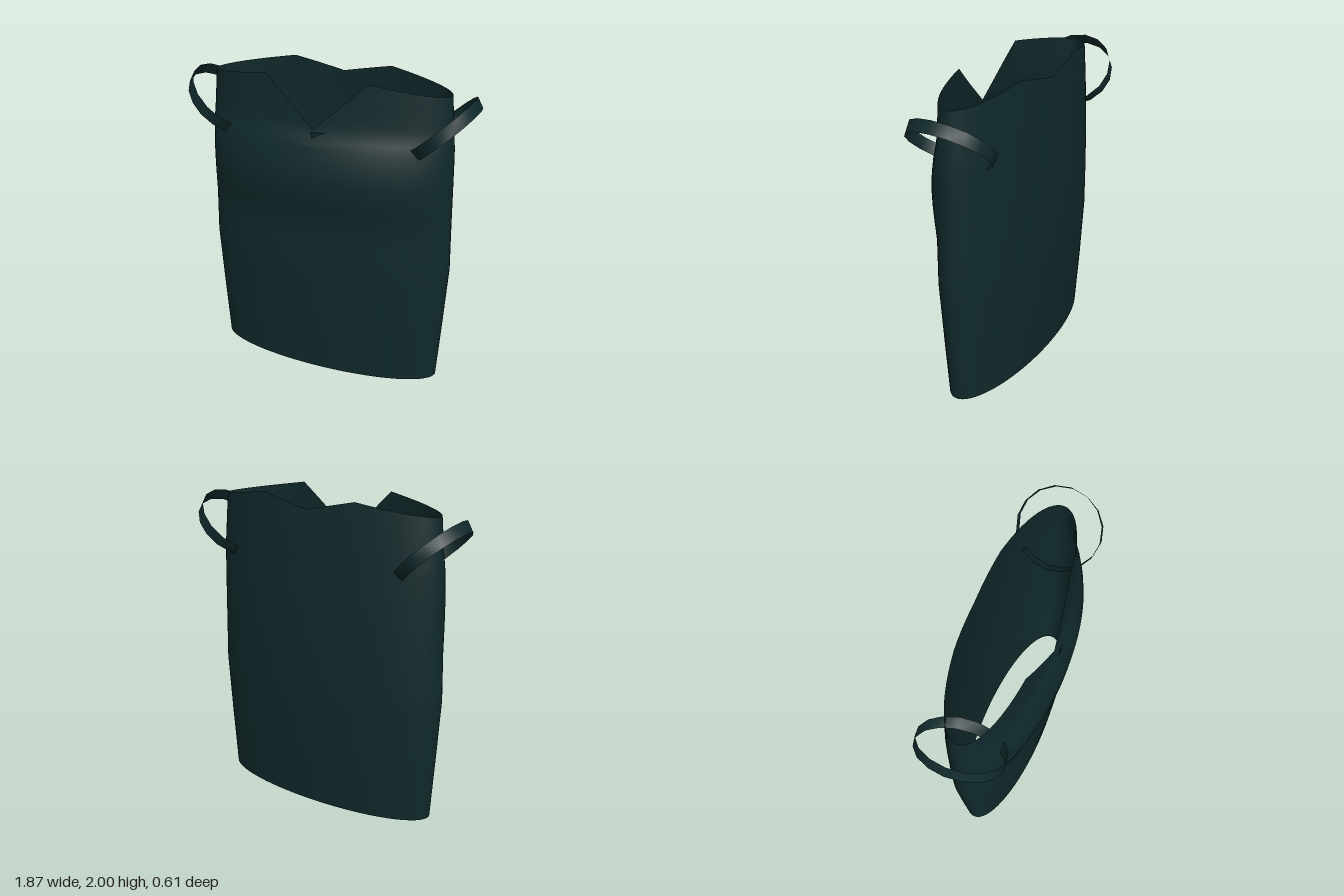
import * as THREE from 'three';

// height, half width, front depth, back depth
const profile = [
  [0, 0.765, 0.2, -0.255], [0.4, 0.79, 0.228, -0.284], [0.8, 0.813, 0.25, -0.303],
  [1.1, 0.805, 0.252, -0.303], [1.2, 0.803, 0.28, -0.3], [1.3, 0.801, 0.302, -0.297],
  [1.4, 0.799, 0.309, -0.293], [1.5, 0.797, 0.296, -0.287], [1.6, 0.794, 0.268, -0.281],
  [1.7, 0.785, 0.226, -0.276], [1.8, 0.776, 0.214, -0.27], [2.0, 0.758, 0.2, -0.255],
];
const MID_Z = -0.025;

function section(y) {
  let i = 0;
  while (i < profile.length - 2 && y > profile[i + 1][0]) i++;
  const a = profile[i], b = profile[i + 1];
  const t = (y - a[0]) / (b[0] - a[0]);
  return a.map((v, k) => v + (b[k] - v) * t);
}

function bodyPoint(angle, y) {
  const [, w, front, back] = section(y);
  const c = Math.cos(angle);
  return [Math.sin(angle) * w, y, MID_Z + c * (c > 0 ? front - MID_Z : MID_Z - back)];
}

// Upper edge: peaks either side, deep V in front, shallow V behind
function rimHeight(angle) {
  const x = Math.abs(Math.sin(angle)) * 0.765, peak = 0.323;
  if (x > peak) return 2 - 0.07 * (x - peak) / (0.765 - peak);
  const low = Math.cos(angle) > 0 ? 1.7 : 1.93;
  return low + (2 - low) * x / peak;
}

// Surface from rows of points; closed rows wrap round
function loft(rows) {
  const n = rows[0].length, index = [];
  for (let j = 0; j < rows.length - 1; j++) {
    for (let i = 0; i < n; i++) {
      const a = j * n + i, b = j * n + (i + 1) % n;
      index.push(a, b, b + n, a, b + n, a + n);
    }
  }
  const g = new THREE.BufferGeometry();
  g.setAttribute('position', new THREE.Float32BufferAttribute(rows.flat(2), 3));
  g.setIndex(index);
  g.computeVertexNormals();
  return g;
}

export function createModel() {
  const group = new THREE.Group();
  const cloth = new THREE.MeshStandardMaterial({ color: 0x10292b, side: THREE.DoubleSide });
  cloth.name = 'dark teal cloth';
  const add = (name, geometry) => {
    const mesh = new THREE.Mesh(geometry, cloth);
    mesh.name = name;
    group.add(mesh);
  };

  // Open tube of the garment
  const angles = Array.from({ length: 72 }, (_, i) => i * Math.PI / 36);
  const rows = [];
  for (let k = 0; k <= 16; k++) rows.push(angles.map(a => bodyPoint(a, k / 10)));
  for (let k = 1; k <= 8; k++) {
    rows.push(angles.map(a => bodyPoint(a, 1.6 + (rimHeight(a) - 1.6) * k / 8)));
  }
  add('garmentBody', loft(rows));

  // Small fold under the point of the neckline
  const fold = new THREE.BufferGeometry();
  fold.setAttribute('position', new THREE.Float32BufferAttribute(
    [0, 1.655, 0.252, 0.09, 1.7, 0.25, 0, 1.7, 0.262], 3));
  fold.computeVertexNormals();
  add('necklineFold', fold);

  // Tilted off-shoulder bands
  for (const side of [1, -1]) {
    const ring = (x0, y0, x1, y1) => Array.from({ length: 16 }, (_, i) => {
      const a = -side * i * Math.PI / 8, t = (1 + Math.cos(a)) / 2;
      return [side * (x0 + (x1 - x0) * t), y0 + (y1 - y0) * t, -0.03 + 0.26 * Math.sin(a)];
    });
    const lower = ring(0.58, 1.53, 0.935, 1.857);
    const upper = ring(0.52, 1.575, 0.9, 1.923);
    // Keep the winding outward on both sides
    if (side < 0) { lower.reverse(); upper.reverse(); }
    const g = loft([lower, upper]);
    add(side > 0 ? 'leftArmBand' : 'rightArmBand', g);
  }
  return group;
}
